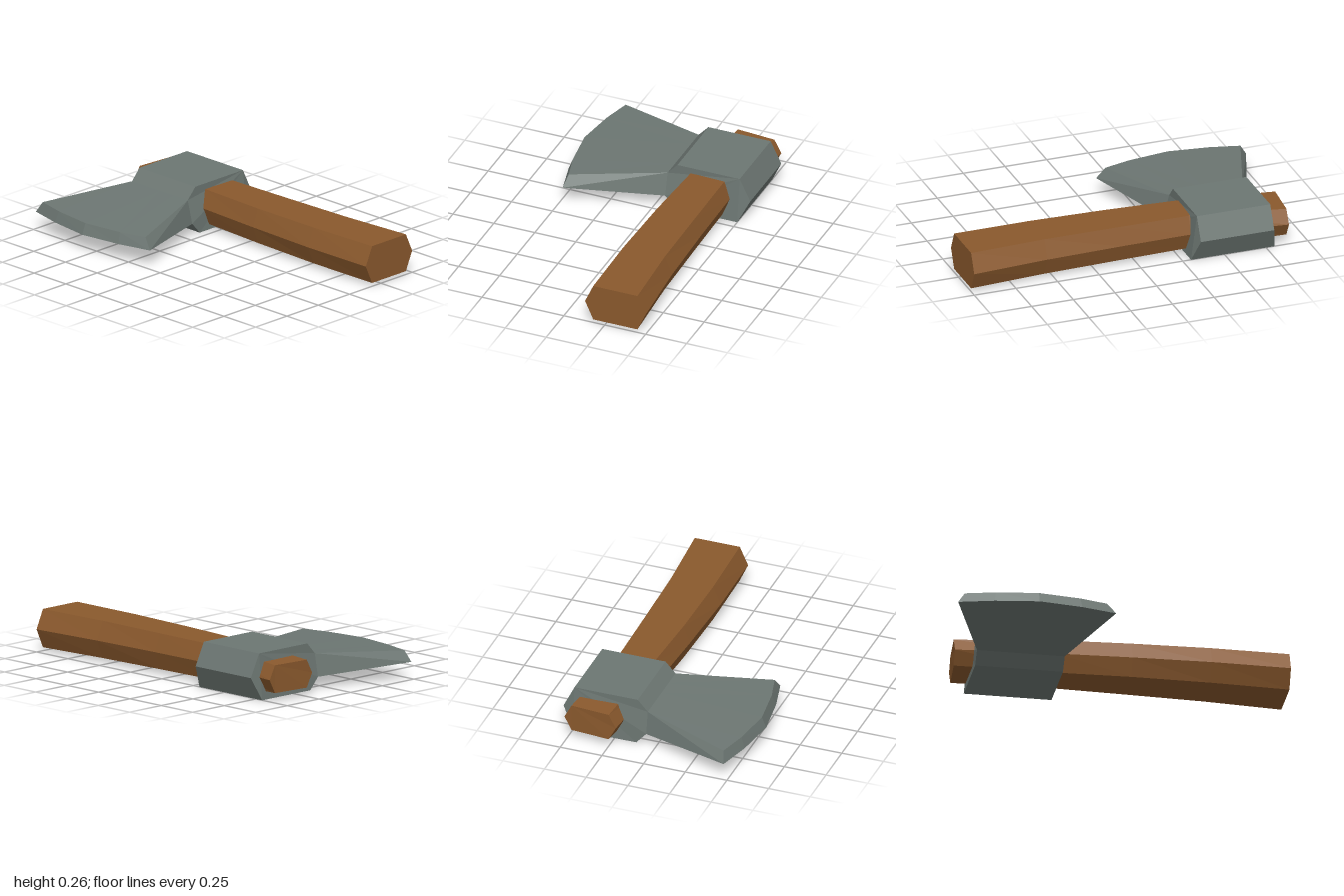
import * as THREE from 'three';

// Skins a closed, flat-shaded solid over rings of [x, y, z] points ordered along +x.
// Each ring runs top -> front -> bottom -> back.
function loft(rings, material, name) {
  const pos = [];
  const tri = (a, b, c) => pos.push(...a, ...b, ...c);
  const n = rings[0].length;
  for (let r = 0; r < rings.length - 1; r++) {
    const p = rings[r], q = rings[r + 1];
    for (let i = 0; i < n; i++) {
      const j = (i + 1) % n;
      tri(p[i], p[j], q[j]);
      tri(p[i], q[j], q[i]);
    }
  }
  const first = rings[0], last = rings[rings.length - 1];
  for (let i = 1; i < n - 1; i++) {
    tri(first[0], first[i + 1], first[i]);
    tri(last[0], last[i], last[i + 1]);
  }
  const geometry = new THREE.BufferGeometry();
  geometry.setAttribute('position', new THREE.Float32BufferAttribute(pos, 3));
  geometry.computeVertexNormals();
  const mesh = new THREE.Mesh(geometry, material);
  mesh.name = name;
  return mesh;
}

export function createModel() {
  const wood = new THREE.MeshStandardMaterial({ color: 0x8a592d, flatShading: true });
  wood.name = 'brown wood';
  const steel = new THREE.MeshStandardMaterial({ color: 0x6c7672, flatShading: true });
  steel.name = 'grey steel';

  const axe = new THREE.Group();
  axe.name = 'axe';

  // Handle: bowed hexagonal bar; stations are
  // [x at front, x at back, front z, back z, bevel, half height]
  const stations = [
    [-0.9, -0.88, -0.205, -0.52, 0.042, 0.08],
    [-0.33, -0.32, -0.162, -0.447, 0.038, 0.1],
    [0.1, 0.1, -0.14, -0.453, 0.038, 0.103],
    [0.55, 0.55, -0.125, -0.468, 0.045, 0.107],
    [1, 1, -0.13, -0.5, 0.05, 0.11],
  ];
  const midY = 0.13;
  const handleRings = stations.map(([xf, xb, zf, zb, bevel, h]) => [
    [xb, midY + h, zb + bevel],
    [xf, midY + h, zf - bevel],
    [xf, midY, zf],
    [xf, midY - h, zf - bevel],
    [xb, midY - h, zb + bevel],
    [xb, midY, zb],
  ]);
  axe.add(loft(handleRings, wood, 'handle'));

  const head = new THREE.Group();
  head.name = 'axeHead';
  axe.add(head);

  // Socket: profile of [y, z, left-hand x, right-hand x], wider below than above
  const socket = [
    [0.265, -0.5, -0.775, -0.335],
    [0.265, -0.12, -0.775, -0.335],
    [0.2, -0.06, -0.775, -0.335],
    [0.068, -0.06, -0.8, -0.3],
    [0, -0.12, -0.8, -0.3],
    [0, -0.5, -0.8, -0.3],
    [0.133, -0.565, -0.775, -0.335],
  ];
  head.add(loft([2, 3].map((k) => socket.map((p) => [p[k], p[0], p[1]])), steel, 'socket'));

  // Blade: columns of [neck top x, neck bottom x, edge top x, z, edge bottom x, z]
  const columns = [
    [-0.775, -0.8, -0.96, 0.465, -1, 0.48],
    [-0.665, -0.675, -0.79, 0.508, -0.8, 0.53],
    [-0.555, -0.55, -0.55, 0.54, -0.55, 0.565],
    [-0.445, -0.425, -0.31, 0.508, -0.3, 0.53],
    [-0.335, -0.3, -0.15, 0.465, -0.1, 0.48],
  ];
  const bladeRings = columns.map(([nt, nb, tx, tz, bx, bz]) => [
    [nt, 0.2, -0.06],
    [tx, 0.165, tz],
    [bx, 0.102, bz],
    [nb, 0.068, -0.06],
  ]);
  head.add(loft(bladeRings, steel, 'blade'));

  return axe;
}
